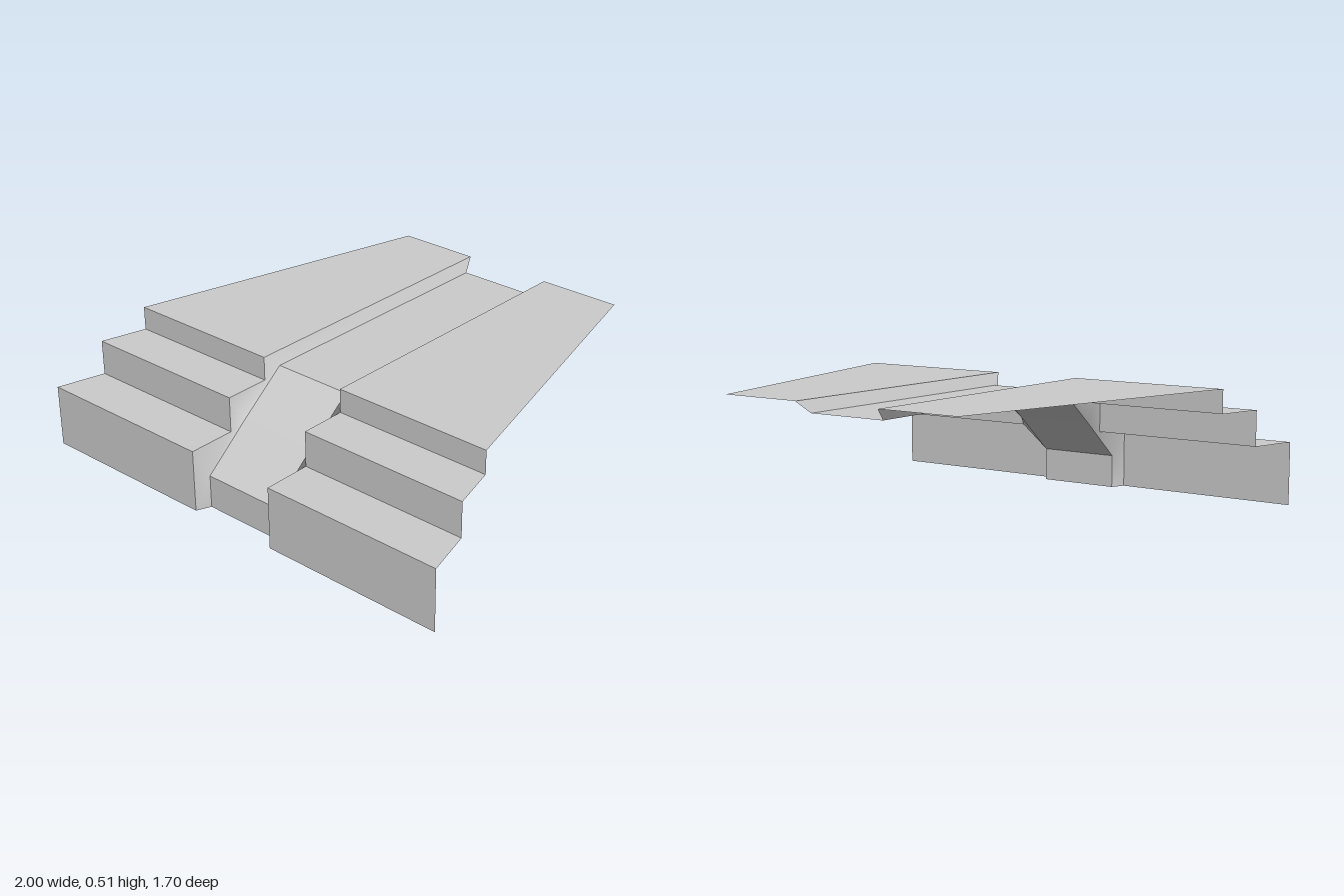
import * as THREE from 'three';

// Profiles as [z, y], running from the front foot to the back edge
const STEPS = [[0.85, 0], [0.85, 0.265], [0.645, 0.265], [0.645, 0.415], [0.45, 0.415], [0.45, 0.515], [-0.85, 0.515]];
const CHANNEL = [[0.79, 0], [0.79, 0.14], [0.59, 0.307], [0.39, 0.465], [-0.79, 0.465]];
const STEP_X = 0.2, CHANNEL_X = 0.175;

// Outer edge tapers towards the back
const outerX = (z) => 0.56 + 0.44 * (z + 0.85) / 1.7;

// Sheet between two polylines of equal length; separate quads keep the folds sharp
function sheet(left, right) {
  const pos = [];
  for (let i = 0; i < left.length - 1; i++) {
    const a = left[i], b = right[i], c = right[i + 1], d = left[i + 1];
    pos.push(...a, ...b, ...c, ...a, ...c, ...d);
  }
  const g = new THREE.BufferGeometry();
  g.setAttribute('position', new THREE.Float32BufferAttribute(pos, 3));
  g.computeVertexNormals();
  return g;
}

// Sloping wall joining the stepped profile to the channel profile
function wallGeometry(side) {
  const pos = [];
  STEPS.forEach(([z, y]) => pos.push(side * STEP_X, y, z));
  CHANNEL.forEach(([z, y]) => pos.push(side * CHANNEL_X, y, z));
  // Steps are 0-6, channel points are 7-11
  const tris = [
    [0, 1, 8], [0, 8, 7],
    [1, 2, 8], [2, 9, 8], [2, 3, 9],
    [3, 4, 9], [4, 10, 9], [4, 5, 10],
    [5, 6, 11], [5, 11, 10],
  ];
  const index = tris.flatMap(([a, b, c]) => (side > 0 ? [a, c, b] : [a, b, c]));
  const g = new THREE.BufferGeometry();
  g.setAttribute('position', new THREE.Float32BufferAttribute(pos, 3));
  g.setIndex(index);
  g.computeVertexNormals();
  return g;
}

export function createModel() {
  const group = new THREE.Group();
  const grey = new THREE.MeshStandardMaterial({ color: 0xcccccc, side: THREE.DoubleSide });
  grey.name = 'plain grey';

  const add = (name, geometry) => {
    const mesh = new THREE.Mesh(geometry, grey);
    mesh.name = name;
    group.add(mesh);
  };

  // Stepped decks and channel walls on both sides
  for (const [side, label] of [[1, 'left'], [-1, 'right']]) {
    const inner = STEPS.map(([z, y]) => [side * STEP_X, y, z]);
    const outer = STEPS.map(([z, y]) => [side * outerX(z), y, z]);
    add(label + 'SteppedDeck', side > 0 ? sheet(inner, outer) : sheet(outer, inner));
    add(label + 'ChannelWall', wallGeometry(side));
  }

  // Central channel: front lip, ramp and flat run
  add('channelFloor', sheet(
    CHANNEL.map(([z, y]) => [-CHANNEL_X, y, z]),
    CHANNEL.map(([z, y]) => [CHANNEL_X, y, z]),
  ));

  return group;
}
